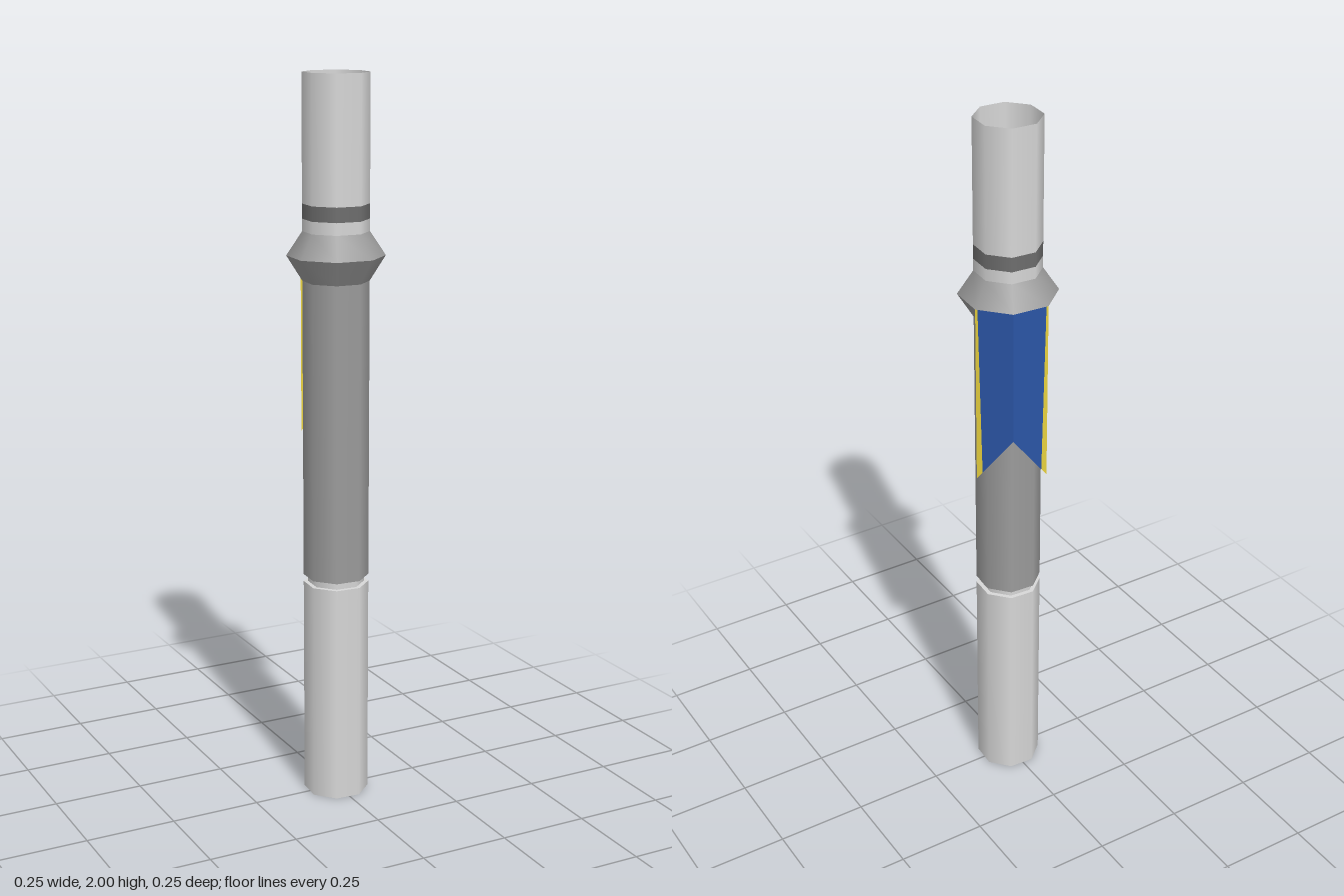
import * as THREE from 'three';

const START = THREE.MathUtils.degToRad(19); // turn of the octagon
const R = 0.0895; // pipe radius
const RC = 0.132; // collar radius

export function createModel() {
  const group = new THREE.Group();
  group.name = 'bannerPole';

  const mat = (name, color) => {
    const m = new THREE.MeshStandardMaterial({ color, side: THREE.DoubleSide });
    m.name = name;
    return m;
  };
  const lightGrey = mat('lightGrey', 0xd8d8d8);
  const midGrey = mat('midGrey', 0x9c9c9c);
  const darkGrey = mat('darkGrey', 0x6e6e6e);
  const blue = mat('blue', 0x2a55a5);
  const yellow = mat('yellow', 0xf0d840);

  // One open octagonal ring, smooth around and sharp at its ends
  const ring = (name, material, r0, y0, r1, y1) => {
    const pts = [new THREE.Vector2(r0, y0), new THREE.Vector2(r1, y1)];
    const mesh = new THREE.Mesh(new THREE.LatheGeometry(pts, 8, START), material);
    mesh.name = name;
    group.add(mesh);
  };

  // Hollow pole, from the bottom up
  ring('lowerPipe', lightGrey, R, 0, R, 0.615);
  ring('grooveBottom', lightGrey, R, 0.615, 0.077, 0.615);
  ring('grooveWall', lightGrey, 0.077, 0.615, 0.077, 0.635);
  ring('grooveTop', lightGrey, 0.077, 0.635, R, 0.635);
  ring('shaft', midGrey, R, 0.635, R, 1.455);
  ring('collarUnderside', midGrey, R, 1.455, RC, 1.523);
  ring('collarTop', midGrey, RC, 1.523, R, 1.587);
  ring('neck', lightGrey, R, 1.587, R, 1.62);
  ring('darkBand', darkGrey, R, 1.62, R, 1.66);
  ring('upperPipe', lightGrey, R, 1.66, R, 2);

  // Swallow-tailed banner hung over two neighbouring collar edges
  const corner = (i) => {
    const a = START + (i * Math.PI) / 4;
    return new THREE.Vector3(Math.sin(a) * RC, 0, Math.cos(a) * RC);
  };
  const TOP = 1.523, NOTCH = 1.15, TIP = 1.02;
  const middle = corner(3);
  // u runs from the notch (0) to the outer edge (1)
  const panel = (name, material, edge, u0Top, u0Low, u1Top, u1Low) => {
    const at = (u, y) => middle.clone().lerp(edge, u).setY(y);
    const hem = (u) => THREE.MathUtils.lerp(NOTCH, TIP, u);
    const [a, b, c, d] = [at(u0Low, hem(u0Low)), at(u1Low, hem(u1Low)), at(u1Top, TOP), at(u0Top, TOP)];
    // Keep the front of the cloth facing away from the pole
    const out = b.clone().sub(a).cross(d.clone().sub(a)).dot(a.clone().setY(0)) > 0;
    const geo = new THREE.BufferGeometry().setFromPoints(out ? [a, b, c, a, c, d] : [a, c, b, a, d, c]);
    geo.computeVertexNormals();
    const mesh = new THREE.Mesh(geo, material);
    mesh.name = name;
    group.add(mesh);
  };
  for (const [side, i] of [['left', 2], ['back', 4]]) {
    const edge = corner(i);
    panel(side + 'BannerCloth', blue, edge, 0, 0, 0.94, 0.84);
    panel(side + 'BannerTrim', yellow, edge, 0.94, 0.84, 1, 1);
  }
  return group;
}
